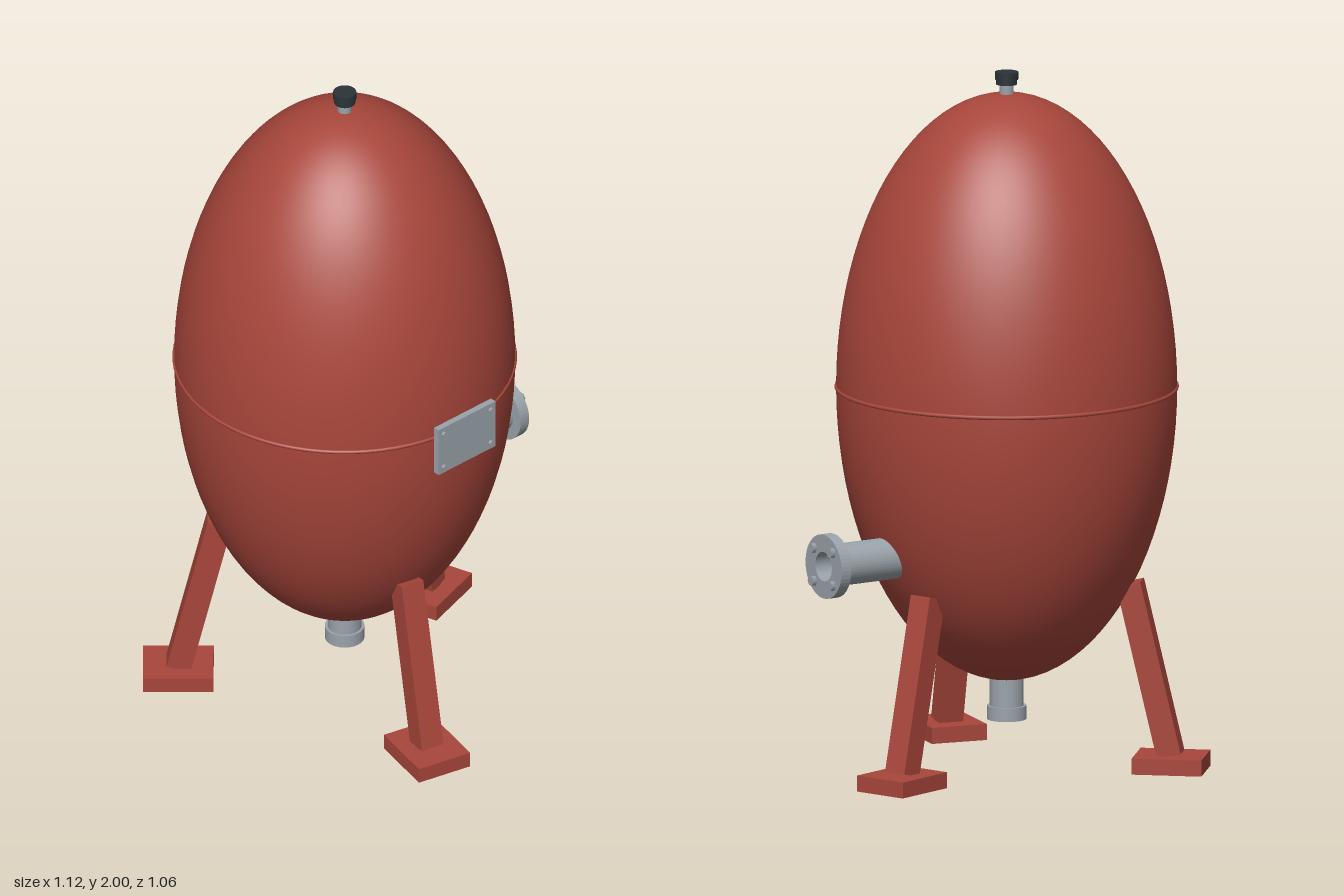
import * as THREE from 'three';

const CX = -0.073, CZ = -0.042; // vessel axis
const MID = 1.094, R = 0.483, H = 0.844; // vessel equator height and half sizes

const red = new THREE.MeshStandardMaterial({ color: 0xa8463b });
const steel = new THREE.MeshStandardMaterial({ color: 0x9aa3aa });
const dark = new THREE.MeshStandardMaterial({ color: 0x2b3439 });

function add(parent, name, geometry, material, x = 0, y = 0, z = 0) {
  const mesh = new THREE.Mesh(geometry, material);
  mesh.name = name;
  mesh.position.set(x, y, z);
  parent.add(mesh);
  return mesh;
}

// Hollow ring along y with crisp edges, from y0 to y1
function sleeve(outer, inner, y0, y1) {
  const shape = new THREE.Shape().absarc(0, 0, outer, 0, Math.PI * 2);
  shape.holes.push(new THREE.Path().absarc(0, 0, inner, 0, Math.PI * 2, true));
  const g = new THREE.ExtrudeGeometry(shape, { depth: y1 - y0, bevelEnabled: false, curveSegments: 24 });
  return g.rotateX(-Math.PI / 2).translate(0, y0, 0);
}

// Leg and foot, built pointing outward along local +z
function createLeg() {
  const leg = new THREE.Group();
  leg.name = 'leg';
  add(leg, 'foot', new THREE.BoxGeometry(0.167, 0.046, 0.2), red, 0, 0.023, 0.471);
  const bottom = new THREE.Vector3(0, 0.045, 0.47);
  const top = new THREE.Vector3(0, 0.538, 0.354);
  const strut = add(leg, 'strut', new THREE.BoxGeometry(0.07, bottom.distanceTo(top), 0.07), red);
  strut.position.copy(bottom).lerp(top, 0.5);
  strut.rotation.x = Math.atan2(top.z - bottom.z, top.y - bottom.y);
  return leg;
}

// Flanged side pipe, built along local +y from the vessel axis
function createSidePipe() {
  const pipe = new THREE.Group();
  pipe.name = 'sidePipe';
  add(pipe, 'pipe', sleeve(0.06, 0.042, 0.36, 0.592), steel);
  add(pipe, 'flange', sleeve(0.092, 0.042, 0.591, 0.624), steel);
  for (let i = 0; i < 4; i++) {
    const a = Math.PI / 4 + i * Math.PI / 2;
    add(pipe, 'flangeBolt', new THREE.CylinderGeometry(0.015, 0.015, 0.014, 6), steel,
      0.067 * Math.cos(a), 0.63, 0.067 * Math.sin(a));
  }
  return pipe;
}

// Plate on the front with corner screws and a post behind
function createPlate() {
  const plate = new THREE.Group();
  plate.name = 'frontPlate';
  add(plate, 'panel', new THREE.BoxGeometry(0.218, 0.153, 0.019), steel);
  const round = (r, l) => new THREE.CylinderGeometry(r, r, l, 16).rotateX(Math.PI / 2);
  add(plate, 'post', round(0.015, 0.04), steel, 0, 0, -0.024);
  for (const x of [-0.09, 0.09]) for (const y of [-0.056, 0.056]) {
    add(plate, 'screw', round(0.008, 0.009), steel, x, y, 0.0135);
  }
  return plate;
}

export function createModel() {
  const model = new THREE.Group();
  model.name = 'eggTank';
  const tank = new THREE.Group();
  tank.name = 'tank';
  tank.position.set(CX, 0, CZ);
  model.add(tank);

  // Shell and its weld seam
  const shell = new THREE.SphereGeometry(1, 72, 48).scale(R, H, R);
  add(tank, 'shell', shell, red, 0, MID, 0);
  add(tank, 'seam', new THREE.TorusGeometry(R - 0.001, 0.006, 8, 72).rotateX(Math.PI / 2), red, 0, MID, 0);

  // Top valve
  add(tank, 'valveStem', new THREE.CylinderGeometry(0.02, 0.02, 0.06, 24), steel, 0, 1.945, 0);
  add(tank, 'valveCap', new THREE.CylinderGeometry(0.033, 0.033, 0.022, 24), dark, 0, 1.989, 0);
  add(tank, 'valveCapBase', new THREE.CylinderGeometry(0.03, 0.03, 0.014, 24), dark, 0, 1.971, 0);

  // Bottom outlet
  add(tank, 'outletPipe', sleeve(0.048, 0.036, 0.17, 0.29), steel);
  add(tank, 'outletCollar', sleeve(0.056, 0.036, 0.135, 0.174), steel);

  // Pipe on the +x side
  const pipe = createSidePipe();
  pipe.rotation.z = -Math.PI / 2;
  pipe.position.y = 0.64;
  tank.add(pipe);

  const plate = createPlate();
  plate.position.set(0, 1.071, 0.503);
  tank.add(plate);

  // Three legs spaced evenly around the axis
  for (let i = 0; i < 3; i++) {
    const leg = createLeg();
    leg.rotation.y = -0.224 + i * Math.PI * 2 / 3;
    tank.add(leg);
  }
  return model;
}
